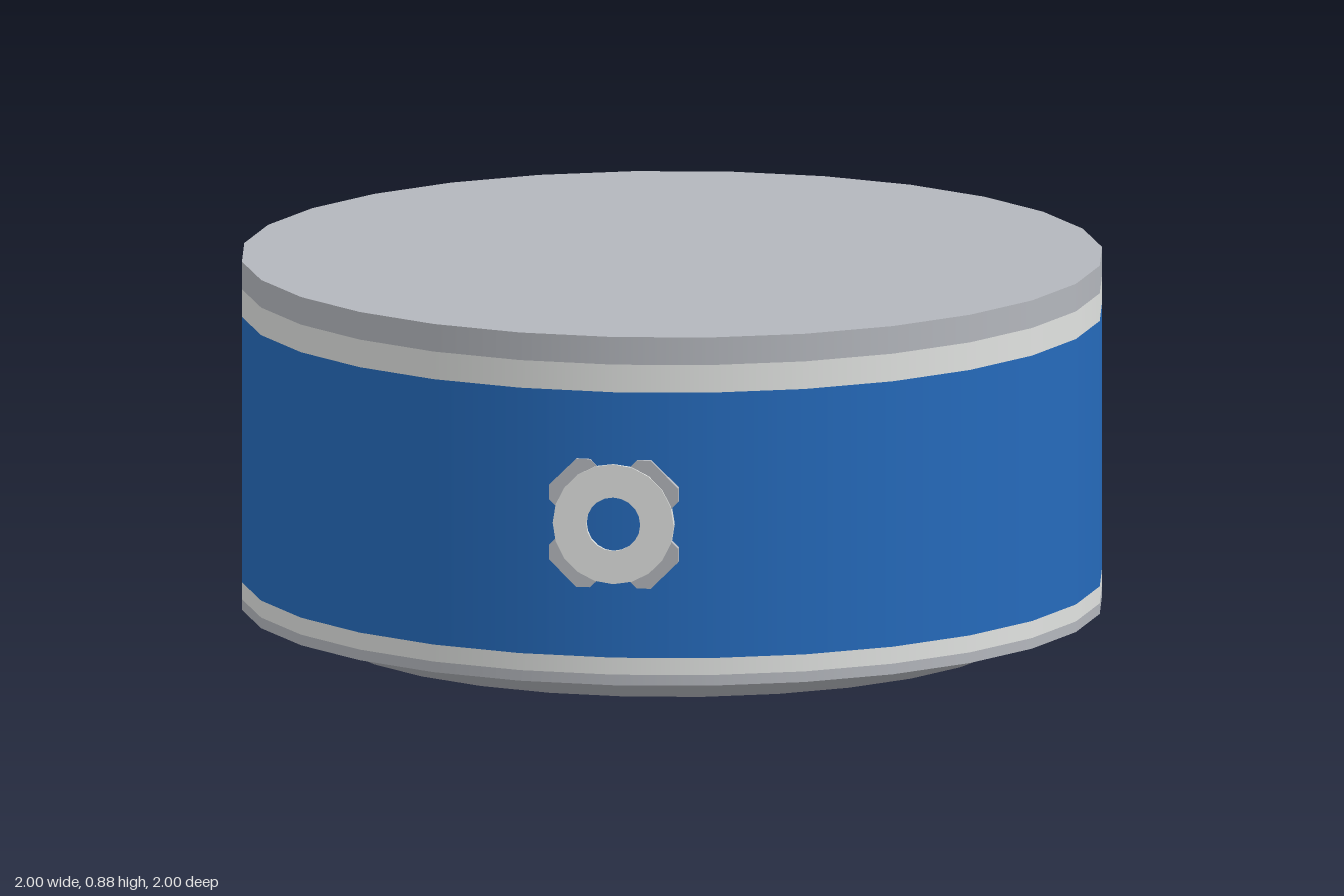
import * as THREE from 'three';

const R = 0.9975, SIDES = 28, Z0 = -0.0025;

export function createModel() {
  const model = new THREE.Group();
  model.name = 'roundTin';

  const paint = (name, color) => {
    const m = new THREE.MeshStandardMaterial({ color });
    m.name = name;
    return m;
  };
  const blue = paint('blue', 0x256abb);
  const silver = paint('light silver', 0xe0e2e0);
  const grey = paint('steel grey', 0xb3b6bc);
  grey.side = silver.side = THREE.DoubleSide;

  const add = (name, geometry, material, x = 0, y = 0, z = Z0) => {
    const mesh = new THREE.Mesh(geometry, material);
    mesh.name = name;
    mesh.position.set(x, y, z);
    model.add(mesh);
    return mesh;
  };

  // Wall, stacked as coloured bands
  const bands = [
    ['bottomRim', 0.065, 0.09, grey],
    ['lowerTrim', 0.09, 0.13, silver],
    ['body', 0.13, 0.755, blue],
    ['upperTrim', 0.755, 0.82, silver],
    ['topRim', 0.82, 0.885, grey],
  ];
  for (const [name, y0, y1, material] of bands) {
    add(name, new THREE.CylinderGeometry(R, R, y1 - y0, SIDES, 1, true), material, 0, (y0 + y1) / 2);
  }

  // Flat lid, with corners matching the wall
  const lid = new THREE.CircleGeometry(R, SIDES);
  lid.rotateX(-Math.PI / 2);
  add('lid', lid, grey, 0, 0.885);

  // Tapered base, softly shaded into the flat underside
  const profile = [[0, 0], [0.8, 0], [0.994, 0.092]].map(([x, y]) => new THREE.Vector2(x, y));
  add('base', new THREE.LatheGeometry(profile, SIDES), grey);

  // Badge ring with an open centre
  const badgeY = 0.445;
  const ring = new THREE.Shape();
  ring.absarc(0, 0, 0.141, 0, Math.PI * 2);
  const hole = new THREE.Path();
  hole.absarc(0, 0, 0.063, 0, Math.PI * 2, true);
  ring.holes.push(hole);
  add('badgeRing', new THREE.ExtrudeGeometry(ring, { depth: 0.03, bevelEnabled: false, curveSegments: 10 }),
    silver, 0, badgeY, 0.97);

  // Four diagonal lugs behind the ring
  const lug = new THREE.Shape([[0.1, -0.068], [0.145, -0.068], [0.168, -0.045], [0.168, 0.045], [0.145, 0.068], [0.1, 0.068]]
    .map(([x, y]) => new THREE.Vector2(x, y)));
  const lugGeometry = new THREE.ExtrudeGeometry(lug, { depth: 0.03, bevelEnabled: false });
  for (let i = 0; i < 4; i++) {
    add('badgeLug', lugGeometry, grey, 0, badgeY, 0.965).rotation.z = Math.PI / 4 + i * Math.PI / 2;
  }

  return model;
}
